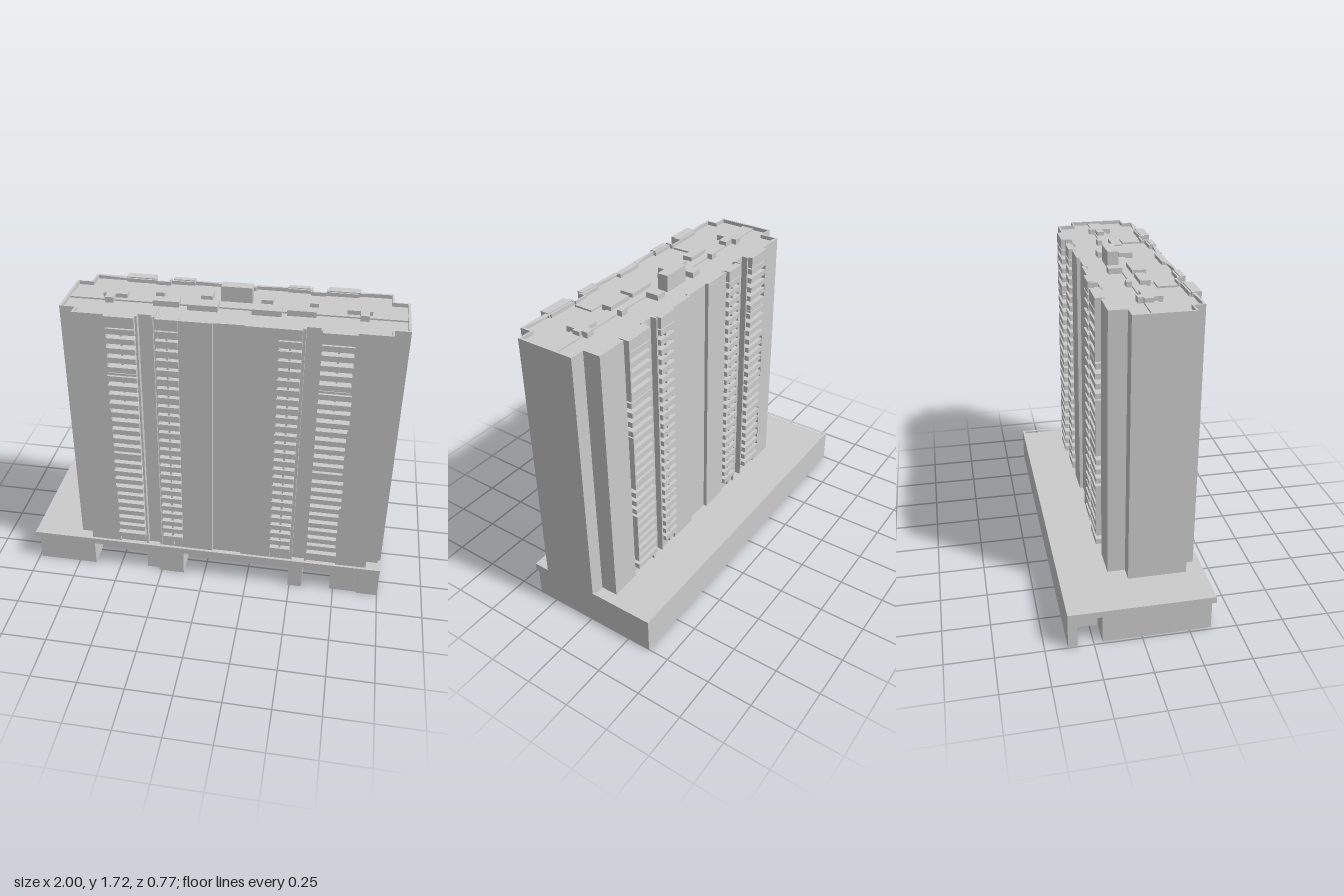
import * as THREE from 'three';

const mat = new THREE.MeshStandardMaterial({ color: 0xcccccc, flatShading: true });

function add(parent, name, geo) {
  const m = new THREE.Mesh(geo, mat);
  m.name = name;
  parent.add(m);
  return m;
}

// Box given by its limits on each axis
function box(parent, name, x0, x1, y0, y1, z0, z1) {
  const g = new THREE.BoxGeometry(Math.abs(x1 - x0), y1 - y0, Math.abs(z1 - z0));
  g.translate((x0 + x1) / 2, (y0 + y1) / 2, (z0 + z1) / 2);
  return add(parent, name, g);
}

// Upright prism from a plan of [x, z] points, with an optional hole
function prism(parent, name, plan, y0, y1, hole) {
  const pts = (p) => p.map(([x, z]) => new THREE.Vector2(x, -z));
  const s = new THREE.Shape(pts(plan));
  if (hole) s.holes.push(new THREE.Path(pts(hole)));
  const g = new THREE.ExtrudeGeometry(s, { depth: y1 - y0, bevelEnabled: false });
  g.rotateX(-Math.PI / 2).translate(0, y0, 0);
  return add(parent, name, g);
}

const rect = (x0, x1, z0, z1) => [[x0, z0], [x1, z0], [x1, z1], [x0, z1]];

function buildPodium() {
  const g = new THREE.Group();
  g.name = 'podium';
  box(g, 'deck', -1, 1, 0.165, 0.18, -0.383, 0.383);
  prism(g, 'deckParapet', rect(-1, 1, -0.383, 0.383), 0.18, 0.2, rect(-0.985, 0.985, -0.368, 0.368));
  // Ground floor walls, open underneath, with recessed shop fronts
  const path = [[-0.995, -0.378], [0.995, -0.378], [0.995, 0.36], [0.89, 0.36], [0.89, 0.35], [0.735, 0.35],
    [0.735, 0.22], [0.565, 0.22], [0.565, 0.36], [0.495, 0.36], [0.495, 0.22], [-0.125, 0.22], [-0.125, 0.36],
    [-0.26, 0.36], [-0.26, 0.34], [-0.335, 0.34], [-0.335, 0.22], [-0.655, 0.22], [-0.655, 0.36],
    [-0.98, 0.36], [-0.98, -0.2], [-0.85, -0.2], [-0.85, -0.34], [-0.995, -0.34]];
  const t = 0.005;
  path.forEach(([x, z], i) => {
    const [u, w] = path[(i + 1) % path.length];
    box(g, 'groundWall', Math.min(x, u) - t, Math.max(x, u) + t, 0, 0.17, Math.min(z, w) - t, Math.max(z, w) + t);
  });
  return g;
}

// Facade bays: start x, end x, offset from the face
const bays = [[-0.66, -0.49, 0], [-0.49, -0.33, -0.02], [-0.33, -0.25, -0.03], [-0.25, -0.12, -0.01],
  [-0.12, 0.05, 0.01], [0.05, 0.21, -0.02], [0.21, 0.38, 0.01], [0.38, 0.5, -0.01],
  [0.5, 0.58, -0.03], [0.58, 0.75, -0.02], [0.75, 0.92, 0]];
const FRONT = 0.355, BACK = -0.115, ROOF = 1.625, TOP = 1.65;

function towerPlan() {
  const front = bays.flatMap(([a, b, d]) => [[a, FRONT + d], [b, FRONT + d]]);
  const back = bays.flatMap(([a, b, d]) => [[a, BACK - Math.min(d, 0)], [b, BACK - Math.min(d, 0)]]).reverse();
  return [[-0.74, -0.02], [-0.74, 0.295], [-0.66, 0.295], ...front, [0.92, 0.295], [1, 0.295],
    [1, -0.02], [0.92, -0.02], ...back, [-0.66, -0.02]];
}

// Stack of balcony parapets with a cap; the outer columns have framed groups
function balconies(parent, x0, x1, wall, out, outer, finX) {
  const g = new THREE.Group();
  g.name = outer ? 'outerBalconies' : 'innerBalconies';
  const s = Math.sign(out - wall), mid = (x0 + x1) / 2;
  for (let i = 0; i < 25; i++) {
    const y = 0.245 + i * 0.0545;
    box(g, 'parapet', x0, x1, y, y + 0.03, wall, out - s * (i % 2) * 0.002);
  }
  box(g, 'cap', x0, x1, 1.59, TOP, wall, out);
  box(g, 'partition', mid - 0.005, mid + 0.005, 0.2, TOP, wall, wall + s * 0.02);
  if (outer) {
    for (const [a, b] of [[0.32, 0.61], [0.82, 1.11], [1.32, TOP]]) {
      box(g, 'sideFin', finX - 0.004, finX + 0.004, a, b, wall, out);
      box(g, 'frameSill', x0, x1, a, a + 0.012, wall, out);
    }
  }
  parent.add(g);
}

function buildTower() {
  const g = new THREE.Group();
  g.name = 'tower';
  const plan = towerPlan();
  prism(g, 'towerBody', plan, 0.175, ROOF);
  const hole = plan.map(([x, z]) => [0.13 + (x - 0.13) * 0.985, 0.12 + (z - 0.12) * 0.95]);
  prism(g, 'roofParapet', plan, ROOF, TOP - 0.005, hole);

  for (const [face, sign] of [[FRONT, 1], [BACK, -1]]) {
    const outZ = face + sign * 0.03, inZ = face + sign * 0.02;
    balconies(g, -0.49, -0.335, face - sign * 0.021, outZ, true, -0.486);
    balconies(g, 0.585, 0.75, face - sign * 0.021, outZ, true, 0.746);
    balconies(g, -0.235, -0.12, face - sign * 0.011, inZ, false);
    balconies(g, 0.375, 0.49, face - sign * 0.011, inZ, false);
    // Slim piers beside the grooves
    for (const x of [-0.33, -0.25, 0.5, 0.58]) {
      box(g, 'pier', x - 0.005, x + 0.005, 0.18, TOP, face - sign * 0.03, face + sign * 0.004);
    }
  }
  return g;
}

function buildRoof() {
  const g = new THREE.Group();
  g.name = 'roofEquipment';
  box(g, 'liftHouse', 0.05, 0.21, ROOF - 0.01, 1.715, 0.025, 0.085);
  box(g, 'roofSpine', -0.73, 0.99, ROOF - 0.01, 1.633, 0.083, 0.155);
  // Low blocks: x0, x1, z0, z1
  const blocks = [[-0.055, 0.005, 0.01, 0.083], [0.255, 0.315, 0.01, 0.083], [-0.29, -0.245, 0.055, 0.083],
    [0.5, 0.545, 0.055, 0.083], [-0.535, -0.49, 0.055, 0.18], [-0.555, -0.43, 0.083, 0.13],
    [0.755, 0.8, 0.055, 0.18], [0.69, 0.815, 0.09, 0.13], [-0.285, -0.15, 0.125, 0.18],
    [-0.105, 0.05, 0.125, 0.2], [0.22, 0.37, 0.125, 0.2], [0.395, 0.54, 0.125, 0.18]];
  blocks.forEach(([a, b, c, d]) => box(g, 'roofBlock', a, b, ROOF - 0.01, 1.655, c, d));
  for (const x of [-0.33, 0.505]) box(g, 'roofHatch', x, x + 0.085, ROOF - 0.01, 1.635, 0.205, 0.31);
  return g;
}

export function createModel() {
  const model = new THREE.Group();
  model.name = 'apartmentBlock';
  model.add(buildPodium(), buildTower(), buildRoof());
  return model;
}
